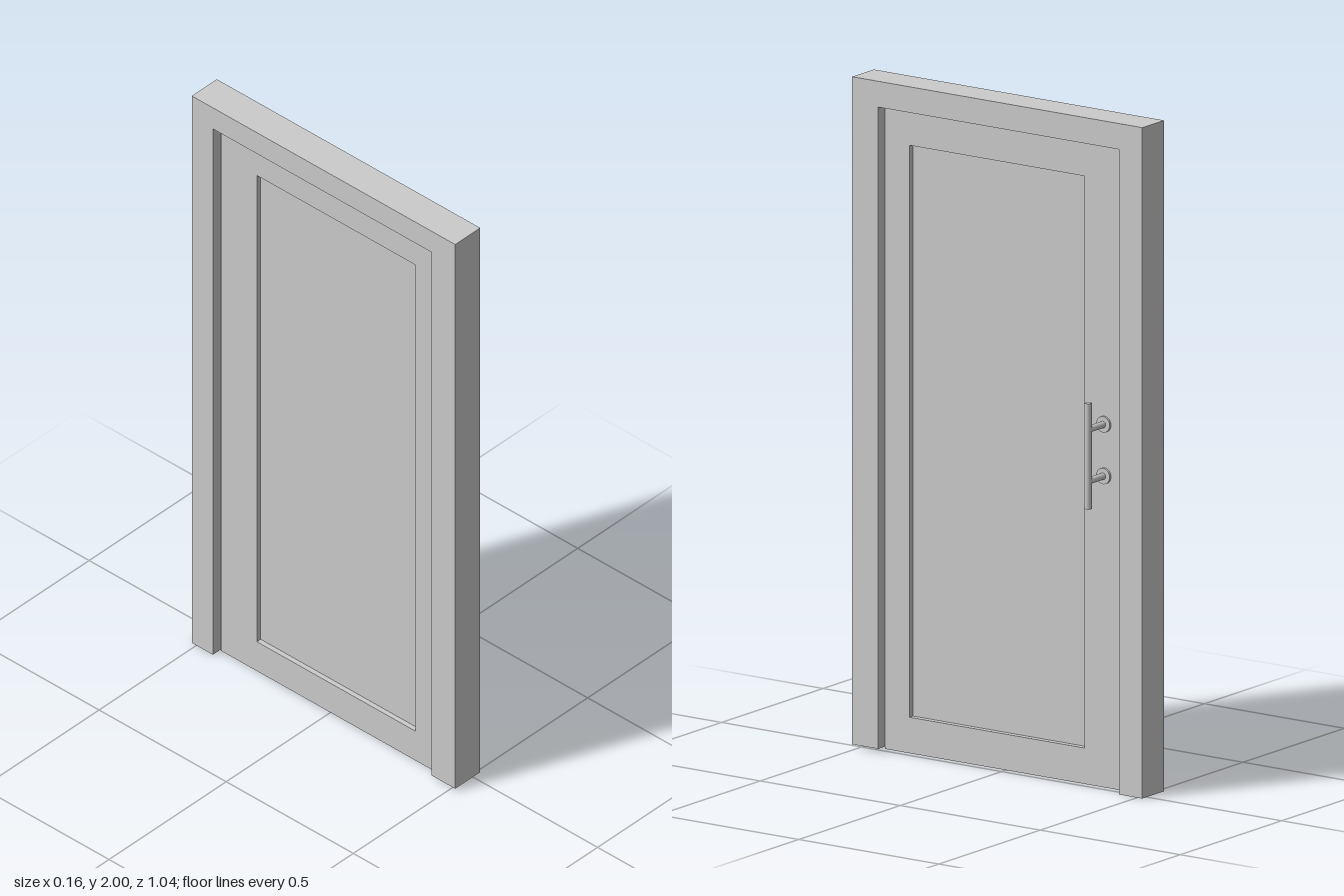
import * as THREE from 'three';

const material = new THREE.MeshStandardMaterial({ color: 0xcccccc });

// Profile drawn in (-z, y), given thickness from x0 to x1
function slab(name, shape, x0, x1) {
  const geometry = new THREE.ExtrudeGeometry(shape, { depth: x1 - x0, bevelEnabled: false });
  geometry.rotateY(Math.PI / 2).translate(x0, 0, 0);
  const mesh = new THREE.Mesh(geometry, material);
  mesh.name = name;
  return mesh;
}

const polygon = (points) => new THREE.Shape(points.map(([u, y]) => new THREE.Vector2(u, y)));
const rectangle = (u0, y0, u1, y1) => polygon([[u0, y0], [u1, y0], [u1, y1], [u0, y1]]);

// Drops the downward faces at the feet, leaving the hollow ends open
function openFeet(mesh) {
  const { position, normal, uv } = mesh.geometry.attributes;
  const kept = { position: [], normal: [], uv: [] };
  for (let i = 0; i < position.count; i += 3) {
    if (normal.getY(i) < -0.5 && position.getY(i) < 0.1) continue;
    for (let k = i; k < i + 3; k++) {
      kept.position.push(position.getX(k), position.getY(k), position.getZ(k));
      kept.normal.push(normal.getX(k), normal.getY(k), normal.getZ(k));
      kept.uv.push(uv.getX(k), uv.getY(k));
    }
  }
  const geometry = new THREE.BufferGeometry();
  geometry.setAttribute('position', new THREE.Float32BufferAttribute(kept.position, 3));
  geometry.setAttribute('normal', new THREE.Float32BufferAttribute(kept.normal, 3));
  geometry.setAttribute('uv', new THREE.Float32BufferAttribute(kept.uv, 2));
  mesh.geometry = geometry;
  return mesh;
}

// Cylinder lying along x from x0 to x1
function rod(name, r0, r1, x0, x1, y, z) {
  const geometry = new THREE.CylinderGeometry(r1, r0, x1 - x0, 24);
  geometry.rotateZ(-Math.PI / 2);
  const mesh = new THREE.Mesh(geometry, material);
  mesh.position.set((x0 + x1) / 2, y, z);
  mesh.name = name;
  return mesh;
}

export function createModel() {
  const model = new THREE.Group();
  model.name = 'door';

  // Frame: two jambs and a head; the hinge jamb stops slightly higher
  const frame = polygon([
    [-0.518, 0.01], [-0.425, 0.01], [-0.425, 1.923], [0.435, 1.923],
    [0.435, 0], [0.518, 0], [0.518, 2], [-0.518, 2],
  ]);
  model.add(openFeet(slab('frame', frame, -0.085, 0.022)));

  // Leaf: flat border around a recessed panel
  const border = rectangle(-0.425, 0.003, 0.427, 1.923);
  border.holes.push(rectangle(-0.338, 0.11, 0.287, 1.815));
  model.add(slab('leafBorder', border, -0.058, -0.012));
  model.add(slab('leafPanel', rectangle(-0.338, 0.11, 0.287, 1.815), -0.042, -0.03));

  // Pull handle: upright bar on two posts with round plates
  const handle = new THREE.Group();
  handle.name = 'handle';
  const z = -0.358;
  const bar = new THREE.Mesh(new THREE.CylinderGeometry(0.012, 0.012, 0.315, 24), material);
  bar.position.set(0.068, 1.008, z);
  bar.name = 'handleBar';
  handle.add(bar);
  for (const y of [0.932, 1.086]) {
    handle.add(rod('handlePost', 0.01, 0.01, -0.012, 0.066, y, z));
    handle.add(rod('handlePlate', 0.024, 0.024, -0.012, -0.005, y, z));
  }
  model.add(handle);

  return model;
}
